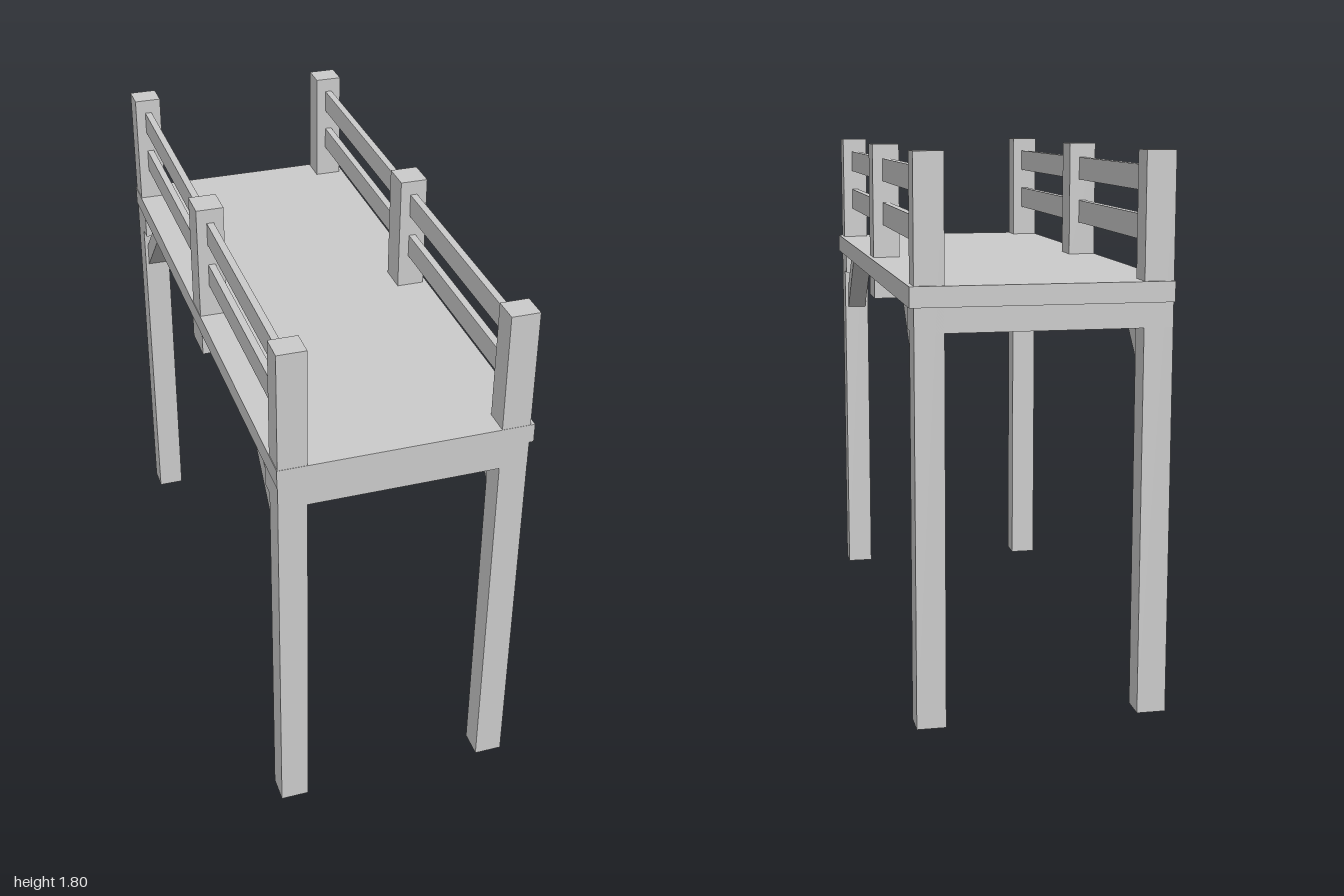
import * as THREE from 'three';

const material = new THREE.MeshStandardMaterial({ color: 0xcccccc, flatShading: true });
const openMaterial = new THREE.MeshStandardMaterial({ color: 0xcccccc, flatShading: true, side: THREE.DoubleSide });

export function createModel() {
  const model = new THREE.Group();
  model.name = 'raisedWalkway';

  const add = (name, geometry, mat = material) => {
    const mesh = new THREE.Mesh(geometry, mat);
    mesh.name = name;
    model.add(mesh);
    return mesh;
  };

  // Box given by its extents along each axis
  const beam = (name, [x0, x1], [y0, y1], [z0, z1]) => {
    const mesh = add(name, new THREE.BoxGeometry(x1 - x0, y1 - y0, z1 - z0));
    mesh.position.set((x0 + x1) / 2, (y0 + y1) / 2, (z0 + z1) / 2);
    return mesh;
  };

  // Walking deck
  beam('deck', [-0.415, 0.415], [1.335, 1.4], [-1, 1]);

  // Cross beams under the deck
  beam('frontCrossBeam', [-0.413, 0.4], [1.255, 1.4], [0.86, 1]);
  beam('middleCrossBeam', [-0.413, 0.4], [1.255, 1.36], [-0.065, 0.07]);
  beam('backCrossBeam', [-0.413, 0.4], [1.255, 1.36], [-0.99, -0.85]);

  for (const [side, x] of [['right', -0.366], ['left', 0.353]]) {
    const postX = [x - 0.047, x + 0.047];

    // Corner posts run from the ground up to the railing; the back pair is open underneath
    beam(side + 'FrontPost', postX, [0, 1.8], [0.91, 0.999]);
    const backPost = beam(side + 'BackPost', postX, [0, 1.8], [-0.99, -0.9]);
    const faces = Array.from(backPost.geometry.index.array);
    faces.splice(18, 6);
    backPost.geometry.setIndex(faces);
    backPost.geometry.clearGroups();
    backPost.material = openMaterial;

    // Middle railing post
    beam(side + 'MiddlePost', postX, [1.38, 1.8], [-0.048, 0.058]);

    // Two rails on each half
    for (const [level, y0, y1] of [['lower', 1.515, 1.595], ['upper', 1.67, 1.75]]) {
      const railX = [x - 0.012, x + 0.012];
      beam(`${side}Front${level}Rail`, railX, [y0, y1], [0.05, 0.92]);
      beam(`${side}Back${level}Rail`, railX, [y0, y1], [-0.91, -0.04]);
    }

    // Diagonal braces between posts and deck, profile drawn in the z-y plane
    for (const [end, s, face] of [['Front', 1, 0.91], ['Back', -1, 0.9]]) {
      const corners = [[face, 1.105], [face, 1.19], [face - 0.145, 1.335], [face - 0.23, 1.335]];
      const shape = new THREE.Shape(corners.map(([z, y]) => new THREE.Vector2(-s * z, y)));
      const geometry = new THREE.ExtrudeGeometry(shape, { depth: 0.07, bevelEnabled: false });
      geometry.rotateY(Math.PI / 2).translate(x - 0.035, 0, 0);
      add(`${side}${end}Brace`, geometry);
    }
  }

  return model;
}
